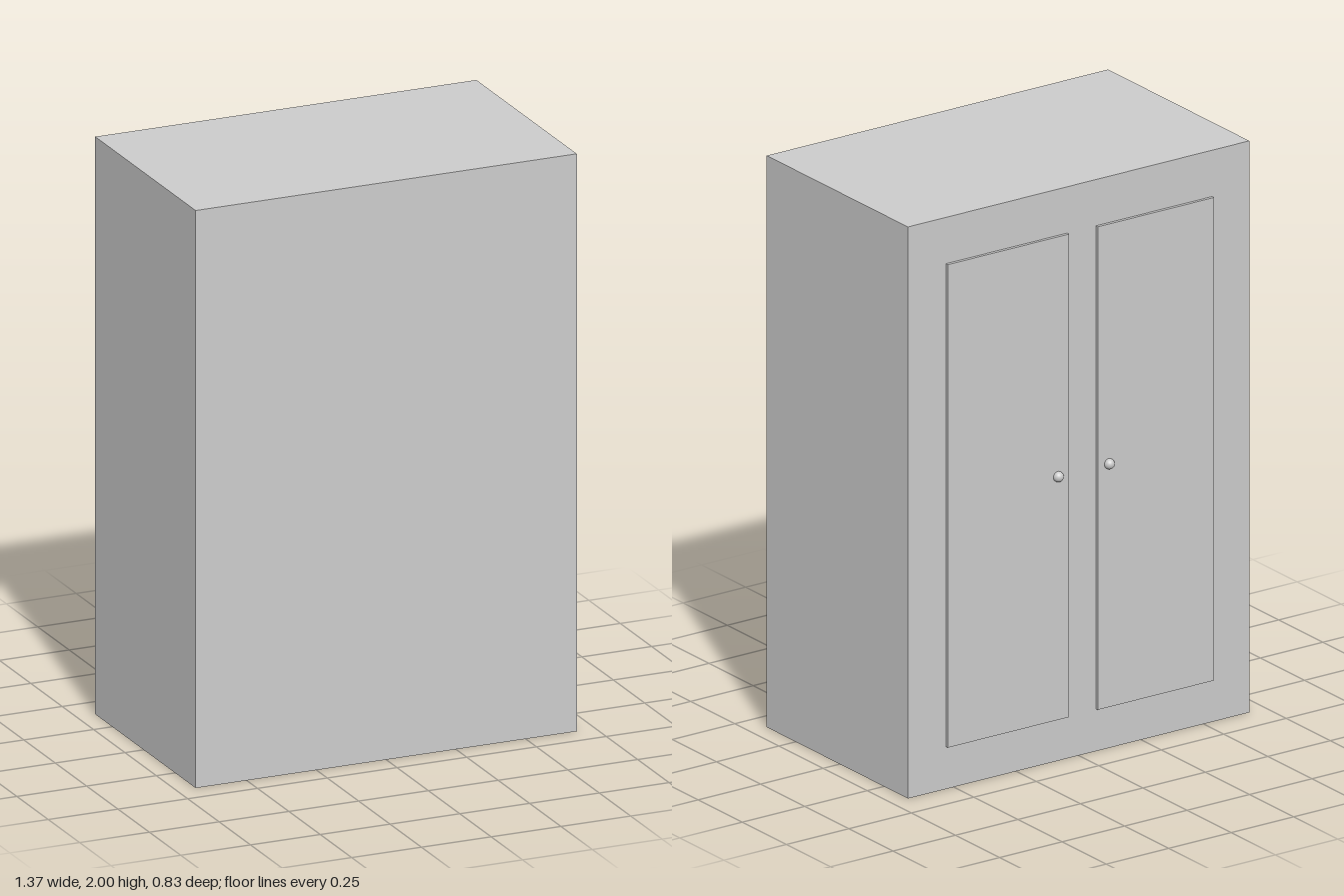
import * as THREE from 'three';

export function createModel() {
  const cabinet = new THREE.Group();
  cabinet.name = 'cabinet';
  const material = new THREE.MeshStandardMaterial({ color: 0xcccccc });

  // Adds a box spanning two opposite corners
  function addBox(name, min, max) {
    const size = max.map((v, i) => v - min[i]);
    const mesh = new THREE.Mesh(new THREE.BoxGeometry(...size), material);
    mesh.position.set(...min.map((v, i) => v + size[i] / 2));
    mesh.name = name;
    cabinet.add(mesh);
  }

  // Solid carcass
  const back = -0.386;
  addBox('body', [-0.683, 0, back], [0.683, 2, 0.414]);

  // Two thin doors on the -z side, each with a round knob near the middle gap
  const doors = [
    { side: 'left', x0: 0.046, x1: 0.531, knobX: 0.091 },
    { side: 'right', x0: -0.534, x1: -0.069, knobX: -0.113 },
  ];
  for (const { side, x0, x1, knobX } of doors) {
    addBox(side + 'Door', [x0, 0.148, back - 0.011], [x1, 1.838, back + 0.01]);

    const knob = new THREE.Mesh(new THREE.SphereGeometry(0.018, 32, 20), material);
    knob.position.set(knobX, 1, -0.4);
    knob.name = side + 'Knob';
    cabinet.add(knob);
  }

  return cabinet;
}
